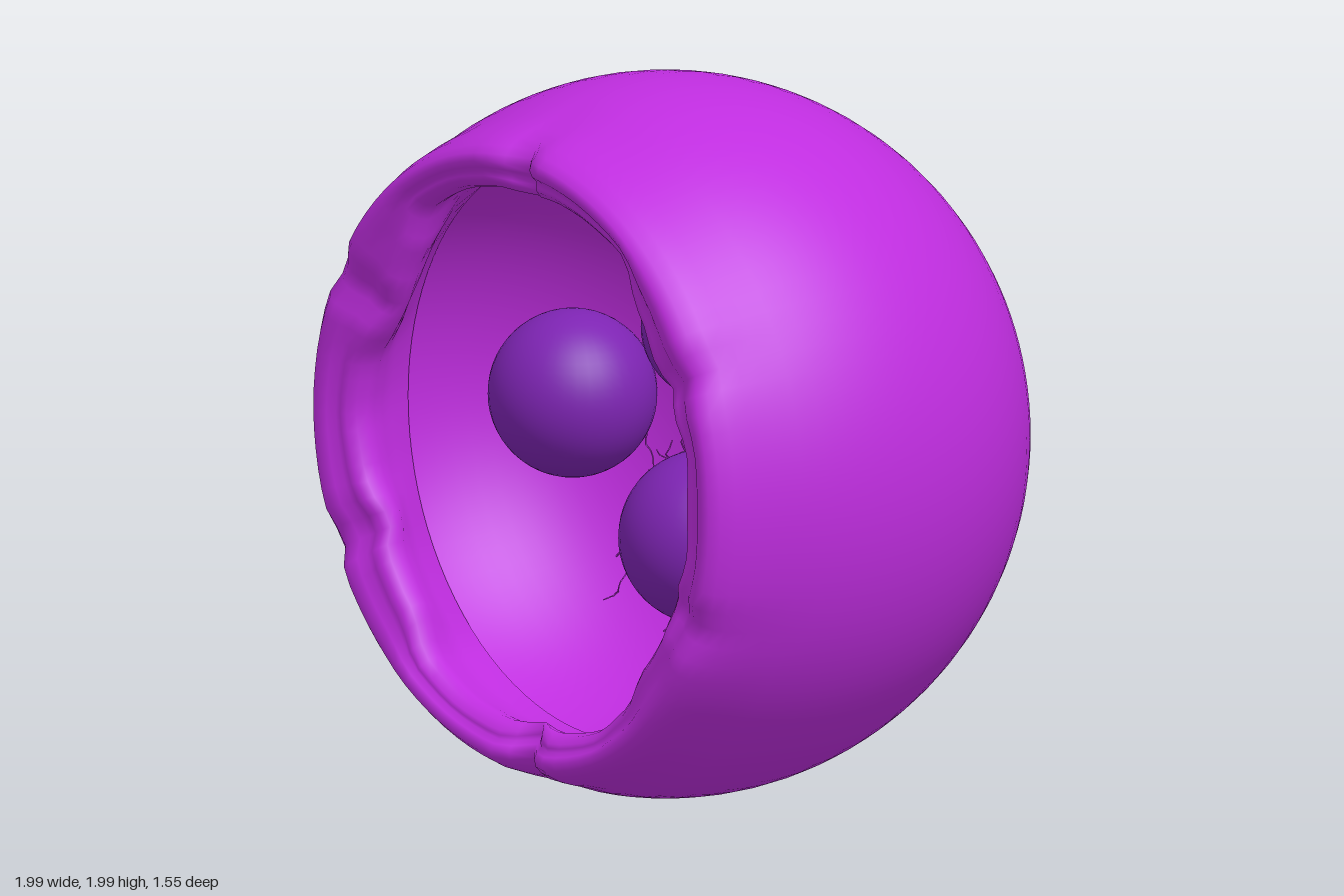
import * as THREE from 'three';
import { mergeVertices, mergeGeometries } from 'three/addons/utils/BufferGeometryUtils.js';

const SEGMENTS = 96;
const DOME = { z: 0.215, r: 0.995 };                     // outer sphere of the shell
const HOLLOW = { z: 0.72, r: 0.835, depth: 0.83, n: 2.6 }; // flat-bottomed cavity bowl
// Radius of the ragged opening, anticlockwise from +x in even steps
const OPENING = [0.70, 0.715, 0.685, 0.675, 0.70, 0.765, 0.755, 0.75, 0.735, 0.75, 0.76, 0.76,
  0.69, 0.66, 0.665, 0.705, 0.715, 0.70, 0.67, 0.69, 0.70, 0.76, 0.765, 0.76,
  0.75, 0.76, 0.765, 0.745, 0.70, 0.70, 0.685, 0.71];
// Pinches around the lip: angle in degrees, strength
const PINCHES = [[90, 1], [270, 1], [26, 0.5], [-24, 0.5], [152, 0.5], [205, 0.5]];

function openingRadius(angle) {
  const n = OPENING.length;
  const f = ((angle / (2 * Math.PI)) * n + n) % n;
  const i = Math.floor(f), t = f - i, s = t * t * (3 - 2 * t);
  return OPENING[i % n] * (1 - s) + OPENING[(i + 1) % n] * s;
}

function pinch(angle) {
  let sum = 0;
  for (const [degrees, strength] of PINCHES) {
    const a = THREE.MathUtils.degToRad(degrees);
    const d = Math.atan2(Math.sin(angle - a), Math.cos(angle - a));
    sum += strength * Math.exp(-((d / 0.06) ** 2));
  }
  return sum;
}

// Depth of the cavity wall at a given radius
function wallDepth(r) {
  const { z, r: radius, depth, n } = HOLLOW;
  return z - depth * Math.max(0, 1 - (r / radius) ** n) ** (1 / n);
}

function shellGeometry() {
  // Each entry: radius, depth, how far it follows the opening, how far it is pinched
  const profile = [];
  for (let i = 0; i <= 28; i++) {
    const a = (i / 28) * 1.94;
    profile.push([DOME.r * Math.sin(a), DOME.z - DOME.r * Math.cos(a), 0, Math.max(0, (i - 26) / 10)]);
  }
  profile.push(
    [0.91, 0.64, 0, 0.4], [0.892, 0.695, 0, 0.6], [0.873, 0.733, 0, 0.9], [0.85, 0.755, 0.1, 1],
    [0.825, 0.76, 0.2, 1], [0.8, 0.75, 0.4, 1], [0.78, 0.733, 0.6, 1], [0.76, 0.735, 0.8, 1],
    [0.74, 0.73, 1, 1], [0.722, 0.71, 1, 0.8], [0.715, 0.68, 1, 0.5], [0.722, 0.65, 1, 0.3],
    [0.75, 0.6, 0.8, 0], [0.785, 0.54, 0.4, 0], [0.81, 0.46, 0, 0]);
  for (let i = 0; i <= 22; i++) {
    const r = 0.82 * Math.sin((1 - i / 22) * Math.PI / 2);
    profile.push([r, wallDepth(r), 0, 0]);
  }
  const points = profile.map(([r, z]) => new THREE.Vector2(Math.max(r, 0), z));
  const geo = new THREE.LatheGeometry(points, SEGMENTS);
  geo.rotateX(Math.PI / 2);

  // Shape the ragged lip
  const pos = geo.attributes.position;
  for (let i = 0; i < pos.count; i++) {
    const [r, z, follow, pinched] = profile[i % profile.length];
    if (follow === 0 && pinched === 0) continue;
    const angle = Math.atan2(pos.getY(i), pos.getX(i));
    const p = pinch(angle) * pinched;
    const radius = r + follow * (openingRadius(angle) - 0.715) - 0.012 * p;
    const depth = z - 0.065 * p + pinched * (0.007 * Math.cos(2 * angle) + 0.008 * Math.sin(angle));
    pos.setXYZ(i, radius * Math.cos(angle), radius * Math.sin(angle), depth);
  }
  geo.deleteAttribute('uv');
  geo.deleteAttribute('normal');
  const smooth = mergeVertices(geo, 1e-4);
  smooth.computeVertexNormals();
  return smooth;
}

function seeded(seed) {
  return () => {
    seed = (seed * 16807) % 2147483647;
    return seed / 2147483647;
  };
}

// Thin crooked strands tangled in clumps around one ball; each clump is [degrees, distance]
function strandGeometry(cx, cy, clumps, perClump, random) {
  const strands = [];
  for (const [degrees, distance] of clumps) {
    for (let s = 0; s < perClump; s++) {
      const a = THREE.MathUtils.degToRad(degrees) + (random() + random() - 1) * 0.55;
      const d = distance + (random() + random() - 1) * 0.07;
      let x = cx + d * Math.cos(a), y = cy + d * Math.sin(a);
      let heading = a + (random() < 0.7 ? Math.PI / 2 : 0) + (random() < 0.5 ? Math.PI : 0);
      const path = [];
      for (let k = 0; k < 6; k++) {
        const z = wallDepth(Math.hypot(x, y)) + 0.01 + 0.05 * random();
        path.push(new THREE.Vector3(x, y, z));
        heading += (random() - 0.5) * 1.3;
        const step = 0.012 + 0.025 * random();
        x += step * Math.cos(heading);
        y += step * Math.sin(heading);
      }
      strands.push(new THREE.TubeGeometry(new THREE.CatmullRomCurve3(path), 9, 0.0024, 4));
    }
  }
  return mergeGeometries(strands);
}

export function createModel() {
  const shellMat = new THREE.MeshStandardMaterial({ color: 0xbf2ddf });
  shellMat.name = 'bright purple';
  const ballMat = new THREE.MeshStandardMaterial({ color: 0x7d24b2 });
  ballMat.name = 'deep violet';

  const model = new THREE.Group();
  model.name = 'hollowPod';
  const body = new THREE.Group();
  body.name = 'podBody';
  body.position.y = 0.995;
  model.add(body);
  const add = (name, geo, mat) => {
    const mesh = new THREE.Mesh(geo, mat);
    mesh.name = name;
    body.add(mesh);
    return mesh;
  };

  add('shell', shellGeometry(), shellMat);

  // Balls resting in the cavity, two of them with strands
  const random = seeded(4217);
  const balls = [
    { name: 'upper', at: [0.077, 0.3, 0.1], r: 0.207,
      clumps: [[85, 0.21], [-12, 0.26], [35, 0.22], [-60, 0.23], [-125, 0.24], [165, 0.21]], perClump: 6 },
    { name: 'lower', at: [0.02, -0.303, 0.09], r: 0.24,
      clumps: [[180, 0.36], [172, 0.28], [-60, 0.28], [-35, 0.3], [8, 0.31], [-130, 0.28], [45, 0.27]],
      perClump: 9 },
    { name: 'side', at: [-0.505, 0.013, 0.13], r: 0.232 },
  ];
  for (const b of balls) {
    add(b.name + 'Ball', new THREE.SphereGeometry(b.r, 40, 28), ballMat).position.set(...b.at);
    if (b.clumps) {
      const geo = strandGeometry(b.at[0], b.at[1], b.clumps, b.perClump, random);
      add(b.name + 'Strands', geo, shellMat);
    }
  }
  return model;
}
